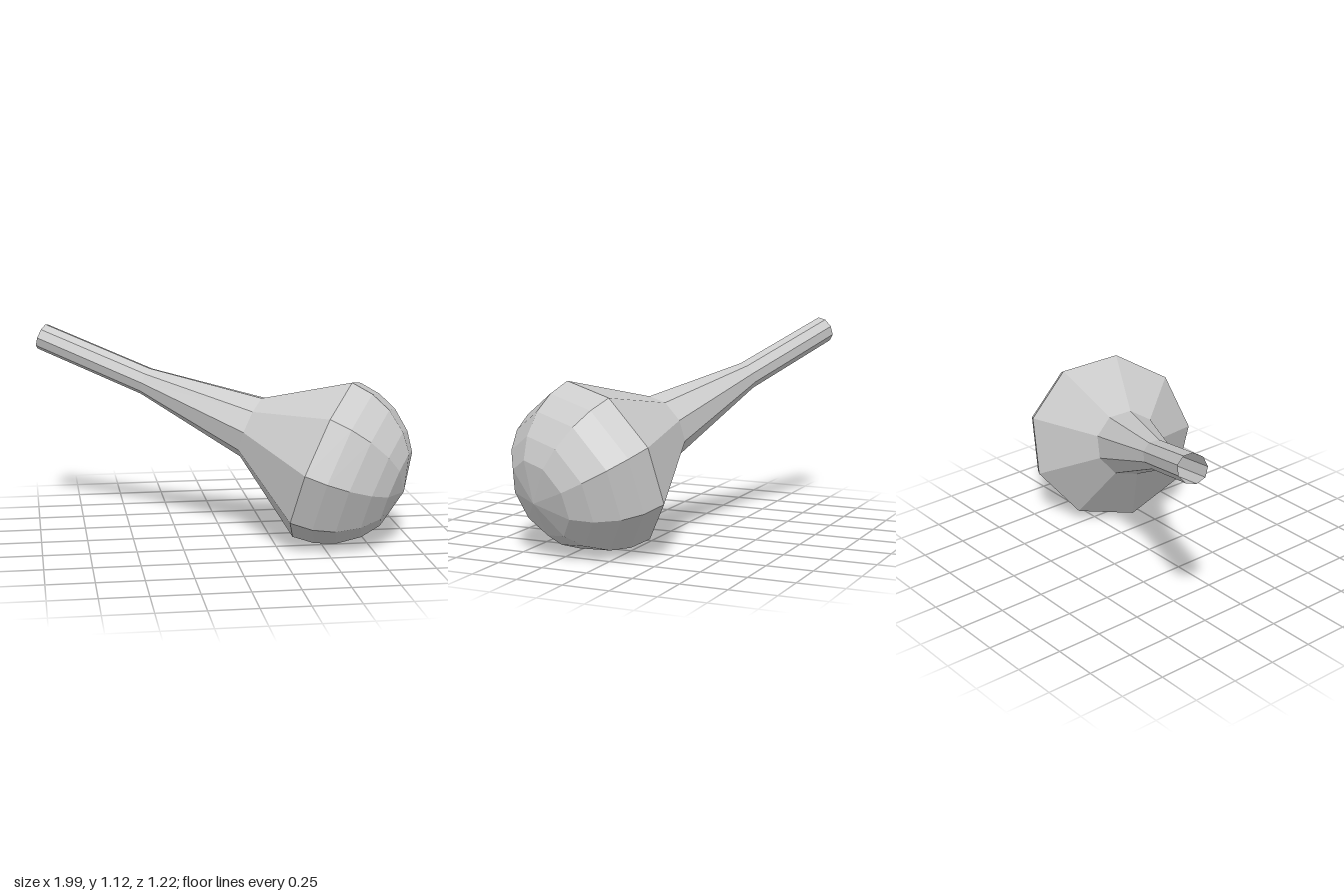
import * as THREE from 'three';

export function createModel() {
  const group = new THREE.Group();
  group.name = 'bulbWithStem';
  const R = 0.468;

  // Profile along the axis, measured from the widest ring: open stem, flared neck, round bulb
  const profile = [
    [0.075, -1.745],
    [0.078, -1.09],
    [0.178, -0.437],
  ].map(([r, h]) => new THREE.Vector2(r, h));
  for (const deg of [0, 15, 30, 47, 62]) {
    const a = THREE.MathUtils.degToRad(deg);
    profile.push(new THREE.Vector2(R * Math.cos(a), R * Math.sin(a)));
  }
  profile.push(new THREE.Vector2(0, 0.46));

  const material = new THREE.MeshStandardMaterial({
    color: 0xcccccc, flatShading: true, side: THREE.DoubleSide,
  });
  const bulb = new THREE.Mesh(new THREE.LatheGeometry(profile, 9), material);
  bulb.name = 'bulbAndStem';

  // Tilt: the axis runs from the stem to the bulb, one facet edge points upwards
  const axis = new THREE.Vector3(0.854, -0.339, 0.395).normalize();
  const edge = new THREE.Vector3(0.107, 0.431, 0.13);
  edge.addScaledVector(axis, -edge.dot(axis)).normalize();
  const side = new THREE.Vector3().crossVectors(axis, edge);
  bulb.quaternion.setFromRotationMatrix(new THREE.Matrix4().makeBasis(side, axis, edge));
  bulb.position.set(0.533, 0.464, 0.155);
  group.add(bulb);
  return group;
}
